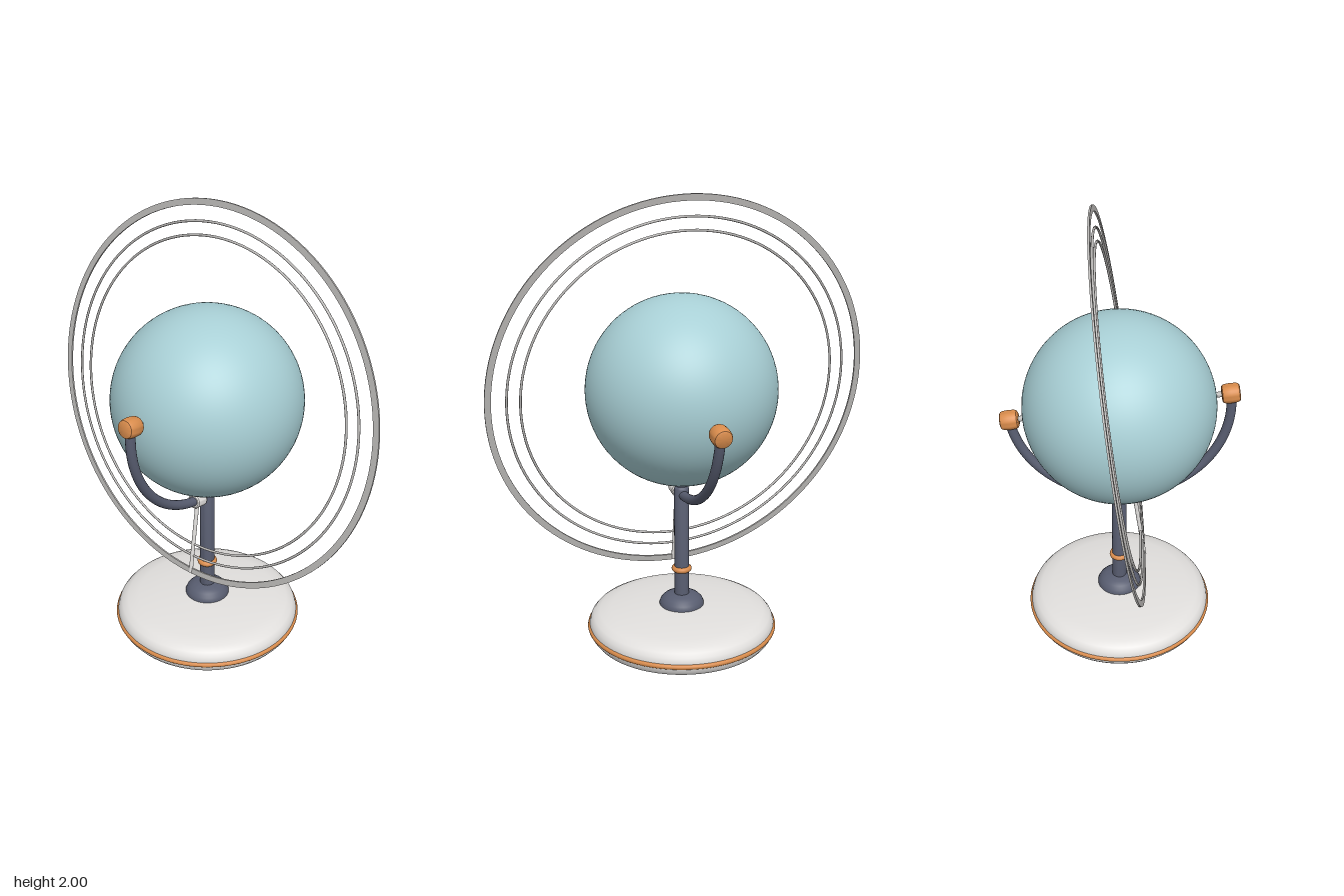
import * as THREE from 'three';
import { toCreasedNormals } from 'three/addons/utils/BufferGeometryUtils.js';

const material = (name, color) => {
  const m = new THREE.MeshStandardMaterial({ color });
  m.name = name;
  return m;
};

// Solid of revolution about y; profile runs from bottom to top as [radius, y]
const turned = (profile, segments = 64) => toCreasedNormals(
  new THREE.LatheGeometry(profile.map(([r, y]) => new THREE.Vector2(r, y)), segments), 0.6);

function add(parent, name, geometry, mat, x = 0, y = 0, z = 0) {
  const mesh = new THREE.Mesh(geometry, mat);
  mesh.name = name;
  mesh.position.set(x, y, z);
  parent.add(mesh);
  return mesh;
}

export function createModel() {
  const blue = material('pale blue', 0xa8cfd5);
  const copper = material('copper', 0xd98c4c);
  const slate = material('dark slate', 0x585d70);
  const white = material('warm white', 0xe2e0de);
  const metal = material('grey metal', 0xbcbab8);

  const model = new THREE.Group();
  model.name = 'globe';

  // Base disc, copper trim and feet
  add(model, 'base', turned([
    [0, 0.018], [0.385, 0.018], [0.4, 0.024], [0.412, 0.04], [0.417, 0.06], [0.417, 0.085],
    [0.411, 0.105], [0.397, 0.122], [0.37, 0.136], [0.32, 0.146], [0.22, 0.157], [0.1, 0.164], [0, 0.165],
  ], 96), white);
  const trim = add(model, 'baseTrim', new THREE.TorusGeometry(0.414, 0.012, 12, 96), copper, 0, 0.069);
  trim.rotation.x = Math.PI / 2;
  const footGeometry = new THREE.CylinderGeometry(0.014, 0.012, 0.02, 16);
  for (let i = 0; i < 8; i++) {
    const a = (i + 0.5) * Math.PI / 4;
    add(model, 'foot', footGeometry, metal, 0.33 * Math.cos(a), 0.01, 0.33 * Math.sin(a));
  }

  // Collar, post and copper post ring
  add(model, 'collar', turned([
    [0.1, 0.155], [0.1, 0.17], [0.094, 0.185], [0.08, 0.2], [0.06, 0.21], [0.033, 0.215],
  ], 48), slate);
  add(model, 'post', turned([
    [0.033, 0.19], [0.033, 0.715], [0.03, 0.723], [0.024, 0.728], [0, 0.73],
  ], 32), slate);
  const postRing = add(model, 'postRing', new THREE.TorusGeometry(0.032, 0.013, 12, 40), copper, 0, 0.335);
  postRing.rotation.x = Math.PI / 2;

  // Everything above the post leans with the axis
  const head = new THREE.Group();
  head.name = 'tiltedHead';
  head.position.y = 1.165;
  head.rotation.z = -THREE.MathUtils.degToRad(8);
  model.add(head);

  const ball = add(head, 'ball', new THREE.SphereGeometry(0.413, 80, 48), blue);
  ball.rotation.z = Math.PI / 2;

  // Half-circle cradle arm
  const arm = add(head, 'arm', new THREE.TorusGeometry(0.474, 0.021, 16, 72, Math.PI), slate);
  arm.rotation.z = Math.PI;

  // Pivot pins and knobs at both ends of the axis
  const pinGeometry = new THREE.CylinderGeometry(0.012, 0.012, 0.06, 20);
  const knobGeometry = turned([
    [0, -0.039], [0.03, -0.039], [0.037, -0.035], [0.041, -0.025], [0.043, 0],
    [0.041, 0.025], [0.037, 0.035], [0.03, 0.039], [0, 0.039],
  ], 32);
  for (const side of [1, -1]) {
    add(head, 'pivotPin', pinGeometry, metal, side * 0.425).rotation.z = Math.PI / 2;
    add(head, 'knob', knobGeometry, copper, side * 0.473).rotation.z = Math.PI / 2;
  }

  // Flat outer ring and two wire rings, standing across the axis
  const rings = new THREE.Group();
  rings.name = 'rings';
  rings.rotation.z = Math.PI / 2;
  head.add(rings);
  add(rings, 'outerRing', turned([
    [0.816, -0.004], [0.843, -0.004], [0.843, 0.004], [0.816, 0.004], [0.816, -0.004],
  ], 128), metal);
  for (const radius of [0.752, 0.695]) {
    const wire = add(rings, 'wireRing', new THREE.TorusGeometry(radius, 0.0055, 8, 128), metal);
    wire.rotation.x = Math.PI / 2;
  }

  // Clip on the arm and the rod that carries the rings
  const clip = add(head, 'clip', turned([
    [0, -0.03], [0.027, -0.03], [0.032, -0.025], [0.032, 0.025], [0.027, 0.03], [0, 0.03],
  ], 32), white, 0, -0.474);
  clip.rotation.z = Math.PI / 2;
  add(head, 'ringRod', new THREE.CylinderGeometry(0.009, 0.009, 0.35, 16), white, 0, -0.665);

  return model;
}
